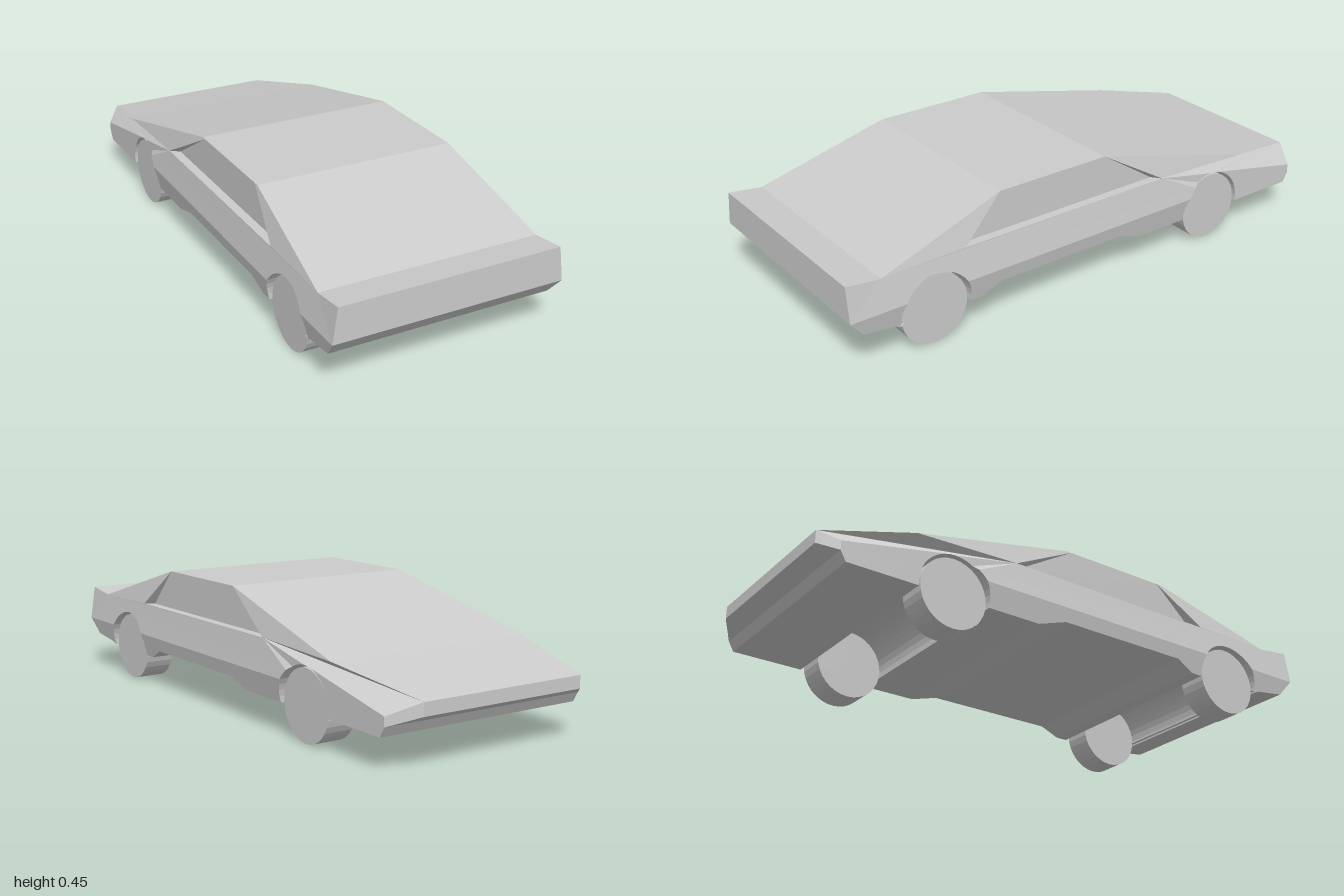
import * as THREE from 'three';

const REAR = 0.68, FRONT = -0.525;          // axle positions along z
const AXLE_Y = 0.125, WHEEL_R = 0.125, ARCH_R = 0.135;
const HI = Math.asin(0.07 / ARCH_R);        // angle where an arch meets the side crease
const LO = -Math.asin(0.015 / ARCH_R);      // angle where an arch meets the floor

const material = new THREE.MeshStandardMaterial({ color: 0xcccccc, flatShading: true });

// height of the crease that runs along the flank, dropping at the nose
const creaseY = (z) => 0.195 + Math.min(0, z + 0.64) * 0.0556;

// half width of the body at a given height and length
function halfWidth(y, z, side) {
  if (z < -0.97) return side > 0 ? 0.3 : 0.345;
  if (z < -0.45) return 0.4;
  const t = y > 0.195 ? (y - 0.195) / 0.11 : (0.195 - y) / 0.085;
  return 0.418 - 0.018 * Math.min(1, t);
}

// points [z, y] along a wheel arch
function arch(cz, from, to, n) {
  return Array.from({ length: n + 1 }, (_, i) => {
    const a = from + ((to - from) * i) / n;
    return [cz + ARCH_R * Math.cos(a), AXLE_Y + ARCH_R * Math.sin(a)];
  });
}

function flatMesh(name, positions) {
  const geo = new THREE.BufferGeometry();
  geo.setAttribute('position', new THREE.Float32BufferAttribute(positions, 3));
  geo.computeVertexNormals();
  const mesh = new THREE.Mesh(geo, material);
  mesh.name = name;
  return mesh;
}

// side profile stretched across the car, following halfWidth, without hidden inner faces
function bodySection(name, profile) {
  const shape = new THREE.Shape(profile.map(([z, y]) => new THREE.Vector2(-z, y)));
  const raw = new THREE.ExtrudeGeometry(shape, { depth: 1, bevelEnabled: false });
  const p = (raw.index ? raw.toNonIndexed() : raw).attributes.position;
  const out = [];
  for (let i = 0; i < p.count; i += 3) {
    const tri = [0, 1, 2].map((k) => {
      const z = -p.getX(i + k), y = p.getY(i + k), side = p.getZ(i + k) > 0.5 ? 1 : -1;
      return [side * halfWidth(y, z, side), y, z];
    });
    const spans = tri.some((v) => v[0] > 0) && tri.some((v) => v[0] < 0);
    const onCrease = tri.every(([, y, z]) => Math.abs(y - creaseY(z)) < 1e-3);
    const underCabin = tri.every(([, y, z]) => y > 0.29 && y < 0.312 && z > -0.68 && z < 0.88);
    if (!(spans && (onCrease || underCabin))) out.push(...tri.flat());
  }
  return flatMesh(name, out);
}

// roof, screens and recessed side windows
function cabin() {
  const out = [];
  const face = (...v) => {
    for (let i = 1; i < v.length - 1; i++) out.push(...v[0], ...v[i], ...v[i + 1]);
  };
  const mir = ([x, y, z]) => [-x, y, z];
  const roofRear = [0.367, 0.45, 0.4], roofFront = [0.367, 0.45, -0.04];
  const deck = [0.4, 0.305, 0.875], hood = [0.4, 0.295, -0.67];
  const sillRear = [0.4, 0.31, 0.56], sillFront = [0.4, 0.31, -0.28];
  const glassRear = [0.367, 0.31, 0.535], glassFront = [0.367, 0.31, -0.255];
  const glassTopRear = [0.367, 0.45, 0.38], glassTopFront = [0.367, 0.45, -0.02];

  // rear screen, roof, windscreen
  for (const [a, b] of [[roofRear, deck], [roofFront, roofRear], [hood, roofFront]]) {
    face(a, mir(a), mir(b), b);
  }
  // pillars, window, ledge and reveals on each side
  const sideFaces = [
    [roofRear, deck, sillRear],
    [roofFront, sillFront, hood],
    [glassRear, glassFront, glassTopFront, glassTopRear],
    [sillRear, sillFront, glassFront, glassRear],
    [roofRear, sillRear, glassRear, glassTopRear],
    [roofFront, glassTopFront, glassFront, sillFront],
  ];
  for (const f of sideFaces) {
    face(...f);
    face(...f.map(mir).reverse());
  }
  return flatMesh('cabin', out);
}

export function createModel() {
  const car = new THREE.Group();
  car.name = 'car';

  car.add(bodySection('upperBody', [
    [1, 0.32], [1, 0.195],
    ...arch(REAR, HI, Math.PI - HI, 12),
    ...arch(FRONT, HI, Math.PI - HI, 12),
    [-0.94, creaseY(-0.94)], [-1, creaseY(-1)], [-1, 0.22],
    [-0.67, 0.295], [-0.28, 0.31], [0.56, 0.31], [0.875, 0.305],
  ]));
  car.add(bodySection('tailBumper', [
    [1, 0.195], [0.95, 0.135], [0.8, 0.115], ...arch(REAR, LO, HI, 4),
  ]));
  car.add(bodySection('sill', [
    ...arch(REAR, Math.PI - HI, Math.PI - LO, 4),
    [0.5, 0.11], [0.43, 0.145], [-0.08, 0.145], [-0.19, 0.11],
    ...arch(FRONT, LO, HI, 4),
  ]));
  car.add(bodySection('noseBumper', [
    ...arch(FRONT, Math.PI - HI, Math.PI - LO, 4),
    [-0.92, 0.11], [-0.94, 0.145], [-1, creaseY(-1)], [-0.94, creaseY(-0.94)],
  ]));
  car.add(cabin());

  // wheels
  const wheelGeo = new THREE.CylinderGeometry(WHEEL_R, WHEEL_R, 0.106, 32).rotateZ(Math.PI / 2);
  for (const [end, z] of [['rear', REAR], ['front', FRONT]]) {
    for (const side of [1, -1]) {
      const wheel = new THREE.Mesh(wheelGeo, material);
      wheel.name = `${end}${side > 0 ? 'Left' : 'Right'}Wheel`;
      wheel.position.set(side * 0.34, AXLE_Y, z);
      car.add(wheel);
    }
  }
  return car;
}
